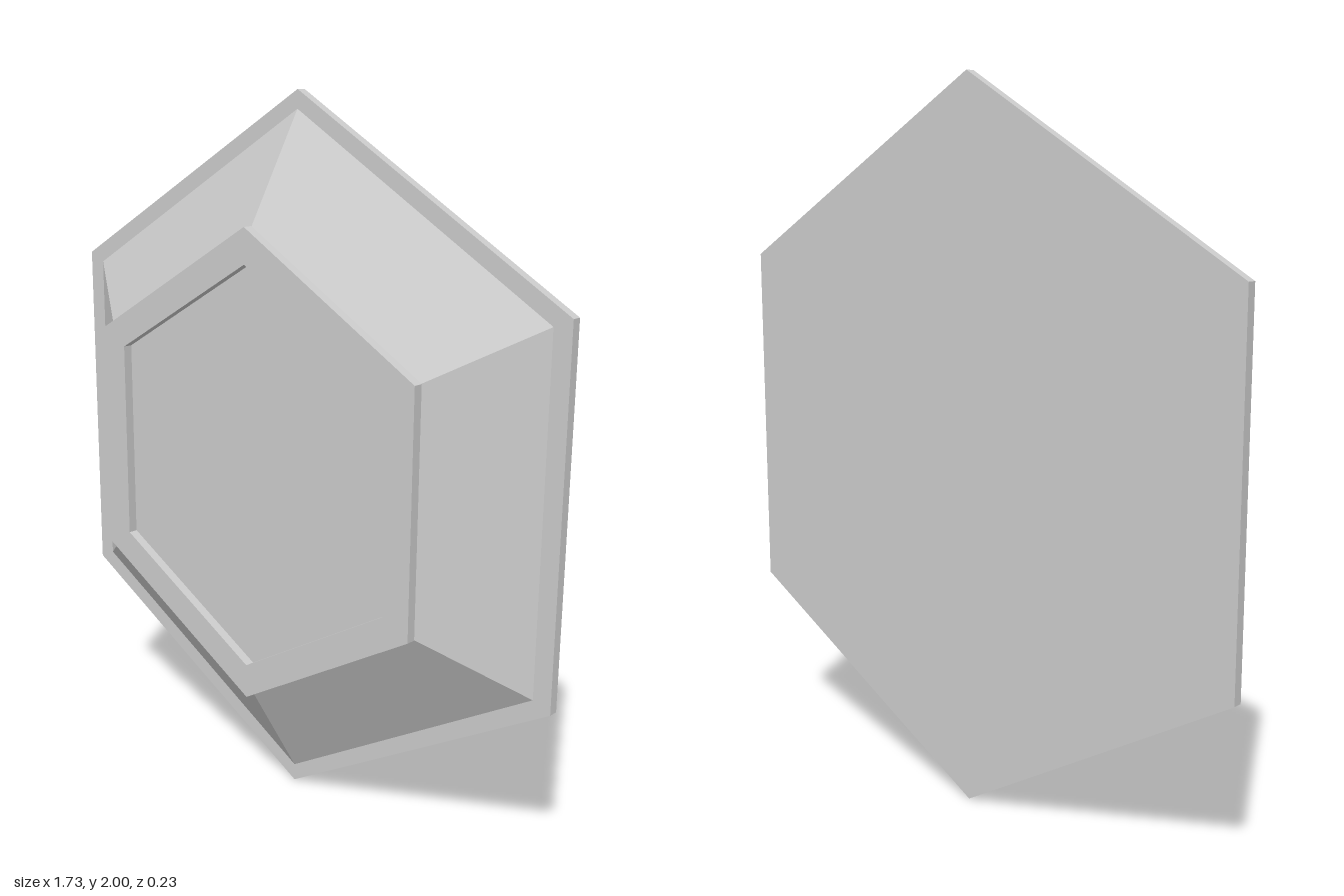
import * as THREE from 'three';

const material = new THREE.MeshStandardMaterial({ color: 0xcccccc, flatShading: true });

// Hexagon outline with a corner pointing up; w is half the width, h half the height
function hexagon(w, h, PathType = THREE.Shape) {
  return new PathType([[0, h], [-w, h / 2], [-w, -h / 2], [0, -h], [w, -h / 2], [w, h / 2]]
    .map(([x, y]) => new THREE.Vector2(x, y)));
}

// Flat slab of the given outline between two depths
function slab(name, shape, zBack, zFront) {
  const geometry = new THREE.ExtrudeGeometry(shape, { depth: zFront - zBack, bevelEnabled: false });
  geometry.translate(0, 0, zBack);
  const mesh = new THREE.Mesh(geometry, material);
  mesh.name = name;
  return mesh;
}

export function createModel() {
  const group = new THREE.Group();
  group.name = 'hexagonalPanel';
  const back = -0.115, plateFront = -0.088, bodyFront = 0.088, front = 0.115;

  // Thin back plate
  group.add(slab('backPlate', hexagon(0.863, 1), back, plateFront));

  // Tapered body; its front face is the floor of the recess
  const body = new THREE.CylinderGeometry(0.656, 0.95, bodyFront - plateFront, 6);
  body.rotateX(Math.PI / 2);
  body.scale(0.985, 1, 1);
  const bodyMesh = new THREE.Mesh(body, material);
  bodyMesh.name = 'taperedBody';
  group.add(bodyMesh);

  // Raised rim around the recess
  const rim = hexagon(0.566, 0.66);
  rim.holes.push(hexagon(0.485, 0.563, THREE.Path));
  group.add(slab('frontRim', rim, bodyFront, front));

  group.position.y = 1;
  return group;
}
